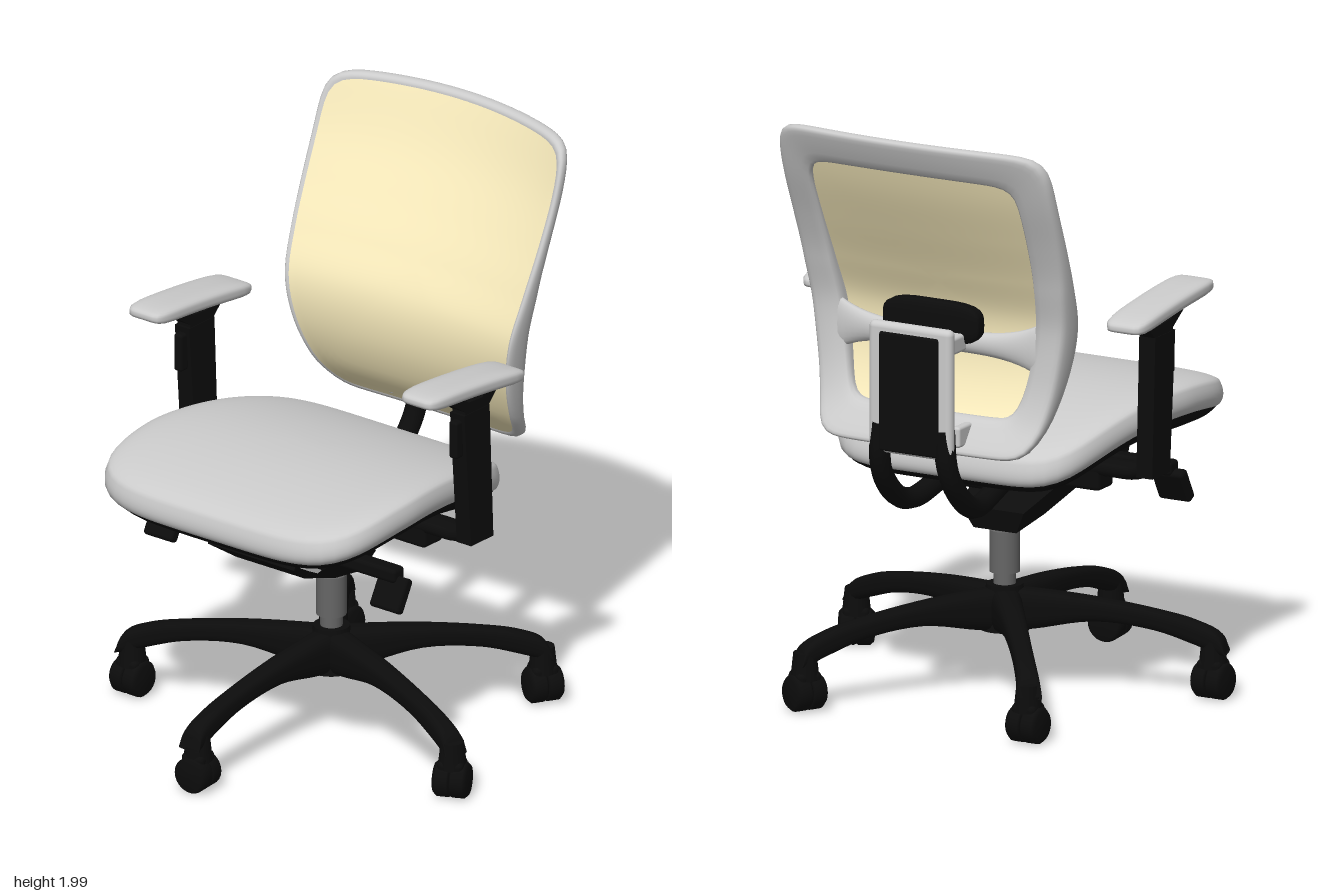
import * as THREE from 'three';
import { mergeVertices } from 'three/addons/utils/BufferGeometryUtils.js';
import { RoundedBoxGeometry } from 'three/addons/geometries/RoundedBoxGeometry.js';
import { ParametricGeometry } from 'three/addons/geometries/ParametricGeometry.js';

const mat = (color, side = THREE.FrontSide) => new THREE.MeshStandardMaterial({ color, side });
const grey = mat(0xcccccc), greyThin = mat(0xcccccc, THREE.DoubleSide);
const black = mat(0x0c0c0c), blackThin = mat(0x0c0c0c, THREE.DoubleSide);
const steel = mat(0x666666), cream = mat(0xfaedbe, THREE.DoubleSide);

function add(parent, name, geo, material, x = 0, y = 0, z = 0) {
  const m = new THREE.Mesh(geo, material);
  m.name = name;
  m.position.set(x, y, z);
  parent.add(m);
  return m;
}

// Smooth surface from a rule fn(u, v) -> [x, y, z]; outside is du x dv
function surf(fn, nu, nv) {
  let g = new ParametricGeometry((u, v, t) => t.set(...fn(u, v)), nu, nv);
  g.deleteAttribute('uv');
  g.deleteAttribute('normal');
  g = mergeVertices(g);
  g.computeVertexNormals();
  return g;
}

// Point on a unit rounded square, n sets how square it is
function squircle(u, n) {
  const c = Math.cos(u * 2 * Math.PI), s = Math.sin(u * 2 * Math.PI);
  const r = Math.pow(Math.abs(c) ** n + Math.abs(s) ** n, -1 / n);
  return [c * r, s * r];
}

const spline = pts => new THREE.SplineCurve(pts.map(p => new THREE.Vector2(...p)));
const path = pts => new THREE.CatmullRomCurve3(pts.map(p => new THREE.Vector3(...p)));

// Soft cushion block
function pillow(w, h, d, bendY = () => 0) {
  return surf((u, v) => {
    const [a, b] = squircle(u, 7);
    const [k, y] = squircle((v - 0.5) / 2, 3.5);
    const z = -b * k * d / 2;
    return [a * k * w / 2, y * h / 2 + bendY(z), z];
  }, 48, 20);
}

// Side profile of [z, y] points, extruded along x
function extrudeX(pts, width) {
  const g = new THREE.ExtrudeGeometry(new THREE.Shape(pts.map(p => new THREE.Vector2(...p))),
    { depth: width, bevelEnabled: false });
  return g.translate(0, 0, -width / 2).rotateY(-Math.PI / 2);
}

// Seat: layers of one tapered outline following a saddle curve, front corners rounder
function seatLayer(profile) {
  const prof = spline(profile);
  return surf((u, v) => {
    const p = prof.getPoint(v), [a, b] = squircle(u, u > 0.5 ? 5 : 7);
    const c = -b * p.x * 0.53, z = 0.1 + c;
    const t = Math.max(0, (0.25 - z) / 0.65);
    return [a * p.x * 0.548 * (1 - 0.19 * t ** 1.3), 0.94 - 0.36 * c * c + 0.06 * c + p.y, z];
  }, 96, 28);
}

// Backrest: outline and curved depth shared by frame, panel and crossbar
const backProfile = spline([-0.535, -0.428, -0.367, -0.357, -0.412, -0.48, -0.545, -0.595, -0.64]
  .map((z, i) => [0.9 + 0.15 * i, z]));
// The frame grows deeper around the lumbar region
const depthAt = y => 1 + 1.3 * Math.exp(-(((y - 1.3) / 0.25) ** 2));
function bend(x, y, d) {
  const bulge = 0.045 + 0.065 * (y - 1.34);
  return [x, y, backProfile.getPoint((y - 0.9) / 1.2).y - bulge * (1 - (x / 0.5) ** 2) - d * depthAt(y)];
}
function backPoint(u, inset, d, k = 1) {
  const [a, b] = squircle(u, 13);
  const rise = b * k * (0.535 - inset);
  const y = 1.463 + rise - 0.03 * (a * k) ** 2 * Math.max(0, rise);
  const hw = 0.505 - 0.105 * Math.max(0, (1.85 - y) / 0.9) ** 2.3;
  return bend(a * k * (hw - inset), y, d);
}

function backrest(root) {
  const g = new THREE.Group();
  g.name = 'backrest';
  root.add(g);
  const ring = spline([[0.115, 0.012], [0.11, 0.035], [0.03, 0.043], [0.004, 0.035], [0, 0.01], [0.01, -0.002], [0.028, 0.003]]);
  add(g, 'backFrame', surf((u, v) => {
    const p = ring.getPoint(v);
    return backPoint(u, p.x, p.y);
  }, 144, 18), greyThin);
  add(g, 'backPanel', surf((u, v) => backPoint(u, 0.02, 0, 1 - v), 144, 18), cream);
  add(g, 'backCrossbar', surf((u, v) => {
    const x = (v * 2 - 1) * 0.37, a = u * 2 * Math.PI;
    const h = 0.036 + 0.05 * (x / 0.37) ** 4;
    return bend(x, 1.28 + h * Math.sin(a), 0.027 - 0.012 * Math.cos(a));
  }, 20, 32), greyThin);
  add(g, 'lumbarPad', pillow(0.36, 0.14, 0.06), black, 0, 1.345, -0.48);

  // Rear upright with dark inset, and its links to the frame
  add(g, 'uprightSurround', new RoundedBoxGeometry(0.31, 0.44, 0.042, 4, 0.02), grey, 0, 1.14, -0.62);
  add(g, 'uprightInset', new RoundedBoxGeometry(0.22, 0.4, 0.02, 3, 0.008), black, 0, 1.13, -0.638);
  add(g, 'uprightCore', new THREE.BoxGeometry(0.24, 0.38, 0.03), black, 0, 1.13, -0.592);
  for (const s of [-1, 1]) {
    add(g, 'upperLink', new RoundedBoxGeometry(0.06, 0.06, 0.12, 2, 0.012), grey, s * 0.1, 1.29, -0.545);
    add(g, 'lowerLink', new RoundedBoxGeometry(0.03, 0.07, 0.09, 2, 0.01), grey, s * 0.15, 0.995, -0.555);
    add(g, 'backSupportArm', new THREE.TubeGeometry(path([
      [s * 0.115, 1.02, -0.612], [s * 0.125, 0.9, -0.612], [s * 0.13, 0.82, -0.575], [s * 0.13, 0.735, -0.48],
      [s * 0.12, 0.715, -0.4], [s * 0.11, 0.74, -0.27], [s * 0.1, 0.79, -0.1]]), 36, 0.036, 10), black);
  }
}

function armrest(root, s) {
  const g = new THREE.Group();
  g.name = s > 0 ? 'leftArm' : 'rightArm';
  root.add(g);
  add(g, 'armPad', pillow(0.152, 0.058, 0.5, z => 0.1 * z - 0.12 * z * z), grey, s * 0.567, 1.362, 0.008);
  add(g, 'padBracket', extrudeX([[0.13, 1.362], [0.09, 1.36], [0.02, 1.31], [-0.05, 1.305], [-0.1, 1.345],
    [-0.14, 1.34], [-0.14, 1.325], [-0.085, 1.27], [-0.085, 1.2], [0.035, 1.2], [0.035, 1.28], [0.12, 1.335]], 0.055),
    black, s * 0.572);
  add(g, 'armPost', extrudeX([[0.045, 1.27], [-0.085, 1.27], [-0.105, 0.8], [0.01, 0.8]], 0.06), black, s * 0.572);
  add(g, 'heightButton', new RoundedBoxGeometry(0.035, 0.13, 0.04, 2, 0.01), black, s * 0.572, 1.185, 0.05);
  const arm = add(g, 'armSupport', new THREE.TubeGeometry(path([
    [s * 0.572, 0.9, 0], [s * 0.565, 0.835, 0], [s * 0.52, 0.81, 0], [s * 0.4, 0.805, 0], [s * 0.15, 0.795, 0]]),
    28, 0.03, 10), black, 0, 0, -0.05);
  arm.scale.z = 1.8;
  add(g, 'armMount', new RoundedBoxGeometry(0.14, 0.08, 0.1, 2, 0.015), black, s * 0.33, 0.77, -0.05);
}

function mechanism(root) {
  const g = new THREE.Group();
  g.name = 'mechanism';
  root.add(g);
  add(g, 'underSeatPlate', new RoundedBoxGeometry(0.58, 0.07, 0.7, 2, 0.02), black, 0, 0.81, -0.02);
  add(g, 'rearCarrier', new RoundedBoxGeometry(0.3, 0.07, 0.26, 2, 0.02), black, 0, 0.775, -0.17);
  // Tilt housing, narrowing towards the column
  const housing = extrudeX([[0.38, 0.8], [0.4, 0.73], [0.3, 0.66], [0.08, 0.575], [-0.08, 0.545], [-0.1, 0.62],
    [0.02, 0.665], [0.17, 0.73], [0.18, 0.8]], 0.38);
  const p = housing.attributes.position;
  for (let i = 0; i < p.count; i++) {
    p.setX(i, p.getX(i) * THREE.MathUtils.clamp(0.42 + (p.getY(i) - 0.55) * 2.9, 0.42, 1));
  }
  housing.computeVertexNormals();
  add(g, 'tiltHousing', housing, black);
  add(g, 'leverRod', new RoundedBoxGeometry(0.98, 0.05, 0.06, 2, 0.015), black, 0, 0.745, 0.24);
  add(g, 'tiltPivot', new THREE.CylinderGeometry(0.03, 0.03, 0.5, 20).rotateZ(Math.PI / 2), black, 0, 0.76, 0.33);
  for (const s of [-1, 1]) {
    add(g, 'pivotBracket', extrudeX([[0.41, 0.82], [0.38, 0.735], [0.34, 0.715], [0.29, 0.73], [0.22, 0.82]], 0.04),
      grey, s * 0.21);
    const paddle = add(g, 'leverPaddle', new RoundedBoxGeometry(0.12, 0.12, 0.04, 3, 0.012), black, s * 0.47, 0.685, 0.26);
    paddle.rotation.x = -0.5;
  }
  add(g, 'gasColumn', new THREE.CylinderGeometry(0.05, 0.05, 0.14, 28), steel, 0, 0.465, -0.016);
  add(g, 'columnSleeve', new THREE.CylinderGeometry(0.037, 0.037, 0.3, 24), steel, 0, 0.42, -0.016);
}

function base(root) {
  const g = new THREE.Group();
  g.name = 'base';
  g.position.z = -0.016;
  root.add(g);
  add(g, 'hub', new THREE.CylinderGeometry(0.06, 0.085, 0.15, 28), black, 0, 0.28, 0);
  // Leg spine: distance from hub, top height, bottom height; and half widths
  const spine = path([[0, 0.345, 0.2], [0.1, 0.34, 0.21], [0.3, 0.322, 0.245], [0.5, 0.292, 0.225],
    [0.63, 0.262, 0.185], [0.715, 0.22, 0.155], [0.737, 0.165, 0.155]]);
  const widths = spline([[0, 0.055], [0.5, 0.034], [1, 0.042]]);
  const legGeo = surf((u, v) => {
    const s = spine.getPoint(v), [a, b] = squircle(u, 3.5);
    return [a * widths.getPoint(v).y, (s.y + s.z) / 2 + b * (s.y - s.z) / 2, s.x];
  }, 24, 30);
  const wheelGeo = new THREE.LatheGeometry([[0, -0.03], [0.056, -0.03], [0.061, -0.022], [0.061, 0.016], [0.05, 0.028], [0, 0.03]]
    .map(q => new THREE.Vector2(...q)), 24).rotateX(Math.PI / 2);
  // Reach and swivel of each caster
  const casters = [[0.69, 0.1], [0.715, 0.75], [0.71, 0.1], [0.7, 0.94], [0.69, -0.31]];
  casters.forEach(([reach, swivel], i) => {
    const leg = new THREE.Group();
    leg.name = 'leg' + (i + 1);
    leg.rotation.y = i * Math.PI * 0.4;
    g.add(leg);
    add(leg, 'legBeam', legGeo, blackThin);
    const caster = new THREE.Group();
    caster.name = 'caster';
    caster.position.z = reach;
    caster.rotation.y = swivel;
    leg.add(caster);
    add(caster, 'stem', new THREE.CylinderGeometry(0.038, 0.048, 0.09, 18), black, 0, 0.155, 0);
    add(caster, 'hood', new RoundedBoxGeometry(0.085, 0.06, 0.09, 3, 0.02), black, 0, 0.11, 0);
    add(caster, 'frontWheel', wheelGeo, black, 0, 0.067, 0.029);
    add(caster, 'rearWheel', wheelGeo, black, 0, 0.067, -0.029).rotation.y = Math.PI;
  });
}

export function createModel() {
  const model = new THREE.Group();
  model.name = 'officeChair';
  const root = new THREE.Group();
  root.name = 'chair';
  root.position.x = -0.02;
  model.add(root);

  add(root, 'seatCushion', seatLayer([[0.9, -0.02], [0.97, -0.012], [1, 0.02], [0.992, 0.06], [0.955, 0.084],
    [0.8, 0.096], [0.4, 0.098], [0, 0.097]]), greyThin);
  add(root, 'seatShell', seatLayer([[0, -0.125], [0.4, -0.125], [0.68, -0.11], [0.88, -0.06], [0.965, -0.015], [0.965, 0.01]]), blackThin);
  backrest(root);
  for (const s of [-1, 1]) armrest(root, s);
  mechanism(root);
  base(root);
  return model;
}
